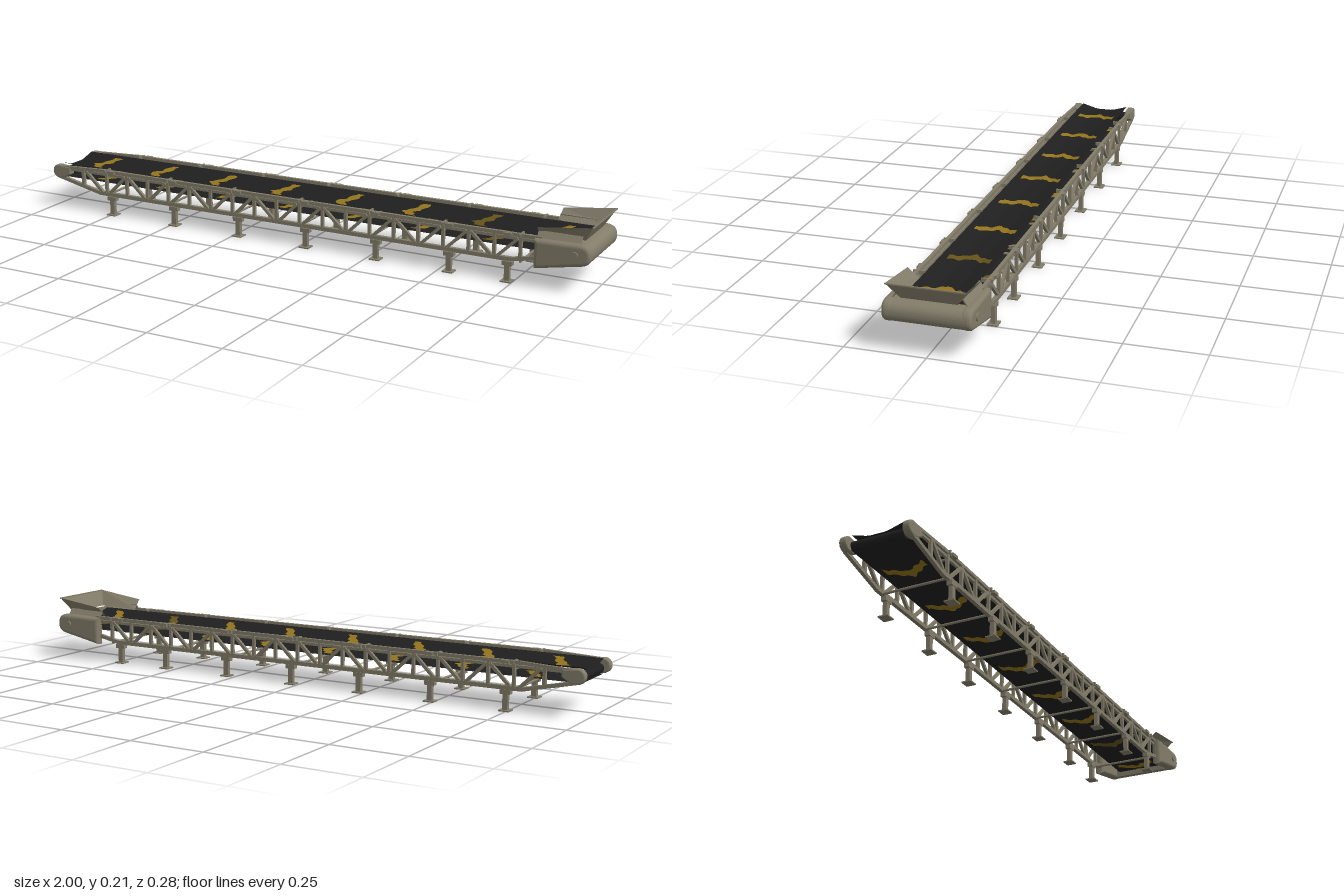
import * as THREE from 'three';

const mat = (name, color) => {
  const m = new THREE.MeshStandardMaterial({ color, side: THREE.DoubleSide });
  m.name = name;
  return m;
};

export function createModel() {
  const root = new THREE.Group();
  root.name = 'beltConveyor';
  const metal = mat('weathered metal', 0x827c69);
  const rubber = mat('black rubber', 0x1f1f1f);
  const yellow = mat('yellow paint', 0x92741c);
  const worn = mat('worn yellow paint', 0x665319);

  const add = (name, geo, m, parent = root) => {
    const mesh = new THREE.Mesh(geo, m);
    mesh.name = name;
    parent.add(mesh);
    return mesh;
  };
  const box = (name, w, h, d, x, y, z, parent) => {
    const b = add(name, new THREE.BoxGeometry(w, h, d), metal, parent);
    b.position.set(x, y, z);
    return b;
  };
  // Square bar between two points of one side frame
  const beam = (name, x1, y1, x2, y2, z, w, parent) => {
    const bar = box(name, Math.hypot(x2 - x1, y2 - y1), w, w, (x1 + x2) / 2, (y1 + y2) / 2, z, parent);
    bar.rotation.z = Math.atan2(y2 - y1, x2 - x1);
  };
  const rod = (name, r, len, x, y, m = metal, sides = 12) => {
    const c = add(name, new THREE.CylinderGeometry(r, r, len, sides), m);
    c.rotation.x = Math.PI / 2;
    c.position.set(x, y, 0);
  };
  // Profile in x,y extruded along z between z0 and z1 with a rounded edge
  const slab = (name, shape, z0, z1, bevel, parent) => {
    const geo = new THREE.ExtrudeGeometry(shape, {
      depth: z1 - z0 - 2 * bevel, bevelThickness: bevel, bevelSize: bevel,
      bevelOffset: -bevel, bevelSegments: 4, curveSegments: 10,
    });
    geo.translate(0, 0, z0 + bevel);
    add(name, geo, metal, parent);
  };
  // Thin sheet facing up (1) or down (-1), shaped by a rule on each vertex
  const sheet = (name, w, d, rows, facing, rule, m) => {
    const geo = new THREE.PlaneGeometry(w, d, 1, rows).rotateX(-facing * Math.PI / 2);
    const p = geo.attributes.position;
    for (let i = 0; i < p.count; i++) {
      const [x, y] = rule(p.getX(i), p.getZ(i));
      p.setXYZ(i, x, y, p.getZ(i));
    }
    geo.computeVertexNormals();
    add(name, geo, m);
  };

  const TOP = 0.154, LOW = 0.073, PITCH = 0.257, Z = 0.11;
  const feet = [-0.745, -0.488, -0.232, 0.025, 0.282, 0.537, 0.732];

  // Troughed carrying belt and flat return belt
  const troughY = (z) => 0.138 + Math.max(0, Math.abs(z) - 0.03) * 0.29;
  const returnY = () => 0.106;
  sheet('carryingBelt', 1.93, 0.174, 14, 1, (x, z) => [x - 0.015, troughY(z)], rubber);
  sheet('returnBelt', 1.93, 0.174, 1, -1, (x) => [x - 0.015, returnY()], rubber);
  rod('tailPulley', 0.016, 0.174, -0.967, 0.122, rubber, 20);
  rod('headPulley', 0.018, 0.174, 0.935, 0.122, rubber, 20);

  // Worn chevrons, reversed and painted through on the return side
  const layers = [
    { facing: 1, height: troughY, way: 1, start: -0.865 },
    { facing: 1, height: returnY, way: -1, start: -0.805 },
    { facing: -1, height: returnY, way: -1, start: -0.805 },
  ];
  for (let n = 0; n < 8; n++) {
    for (const { facing, height, way, start } of layers) {
      sheet('chevron', 0.038, 0.134, 22, facing, (x, z) => {
        const wobble = 0.004 * Math.sin(z * 190 + n * 2.1 + Math.sign(x));
        const shift = way * (-0.02 + Math.abs(z) * 0.65) + wobble;
        return [x * (1 - Math.abs(z) * 4) + shift + start + n * 0.245, height(z) + facing * 0.0015];
      }, n === 6 ? worn : yellow);
    }
  }

  // Cover cheek and tail arm outlines
  const cheek = new THREE.Shape();
  cheek.moveTo(0.82, 0.06);
  cheek.lineTo(0.965, 0.088);
  cheek.quadraticCurveTo(1, 0.092, 1, 0.122);
  cheek.quadraticCurveTo(1, 0.156, 0.967, 0.157);
  cheek.lineTo(0.82, 0.155);
  const arm = new THREE.Shape();
  arm.absarc(-0.976, 0.13, 0.024, Math.PI / 2, Math.PI * 1.5, false);
  arm.lineTo(-0.955, 0.107);
  arm.lineTo(-0.925, 0.124);
  arm.lineTo(-0.925, 0.149);

  for (const s of [1, -1]) {
    // Lattice side frame
    const side = new THREE.Group();
    side.name = s > 0 ? 'frontTruss' : 'backTruss';
    root.add(side);
    const z = s * Z;
    beam('topRail', -0.8, TOP, 0.84, TOP, z, 0.011, side);
    beam('innerRail', -0.93, 0.141, 0.84, 0.141, s * 0.106, 0.009, side);
    beam('tailTopRail', -0.96, 0.147, -0.8, TOP, z, 0.01, side);
    beam('bottomRail', -0.8, LOW, 0.74, LOW, z, 0.013, side);
    beam('tailBottomRail', -0.975, 0.112, -0.8, LOW, z, 0.012, side);
    beam('headBottomRail', 0.74, LOW, 0.85, 0.095, z, 0.012, side);
    beam('tailPost', -0.87, 0.09, -0.87, 0.15, z, 0.011, side);
    beam('tailBrace', -0.86, 0.145, -0.785, LOW, z, 0.01, side);
    for (let i = 0; i < 7; i++) {
      const x = -0.771 + i * PITCH, b = PITCH / 3;
      beam('mainPost', x, LOW, x, 0.156, z, 0.01, side);
      box('idlerBracket', 0.006, 0.012, 0.036, x, 0.154, s * 0.104, side);
      if (i === 6) continue;
      for (const k of [1, 2]) beam('post', x + k * b, LOW, x + k * b, TOP, z, 0.01, side);
      beam('brace', x + 0.008, LOW, x + b - 0.006, 0.142, z, 0.01, side);
      beam('brace', x + b + 0.006, 0.142, x + 2 * b - 0.006, LOW, z, 0.01, side);
      beam('brace', x + 2 * b + 0.006, LOW, x + 3 * b - 0.008, 0.142, z, 0.01, side);
    }
    // Feet with base plate and flange
    const footZ = s * 0.111 + 0.002;
    for (const x of feet) {
      box('footPlate', 0.036, 0.004, 0.034, x, 0.002, footZ, side);
      box('footPost', 0.017, 0.052, 0.014, x, 0.028, footZ, side);
      box('footFlange', 0.034, 0.014, 0.018, x, 0.06, footZ, side);
      box('railClip', 0.026, 0.01, 0.018, x, 0.154, s * 0.114, side);
    }
    // Tail arm and head cover cheek
    slab('tailArm', arm, s > 0 ? 0.092 : -0.117, s > 0 ? 0.117 : -0.092, 0.005, side);
    slab('coverCheek', cheek, s > 0 ? 0.1 : -0.134, s > 0 ? 0.134 : -0.1, 0.012, side);
    const hub = add('headHub', new THREE.CylinderGeometry(0.012, 0.012, 0.008, 12).rotateX(Math.PI / 2), metal, side);
    hub.position.set(0.95, 0.123, s * 0.135);
    // Sloped skirt between cover and hopper
    const skirt = box('hopperSkirt', 0.14, 0.026, 0.004, 0.893, 0.164, s * 0.105, side);
    skirt.rotation.x = -s * 0.6;
  }

  // Rounded nose joining the two cheeks
  const nose = new THREE.Shape();
  nose.moveTo(0.955, 0.09);
  nose.quadraticCurveTo(1, 0.088, 1, 0.122);
  nose.quadraticCurveTo(1, 0.157, 0.955, 0.157);
  slab('coverNose', nose, -0.125, 0.125, 0.004, root);

  // Cross members under and inside the belt
  for (let i = 0; i < 7; i++) {
    const x = -0.771 + i * PITCH;
    rod('crossTube', 0.004, 2 * Z, x, 0.069);
    rod('idlerRoller', 0.004, 2 * Z, x, 0.132);
  }

  // Flared hopper, open toward the belt
  const low = [[0.82, 0.158, 0.085], [0.968, 0.16, 0.085], [0.968, 0.16, -0.085], [0.82, 0.158, -0.085]];
  const high = [[0.825, 0.19, 0.118], [0.998, 0.212, 0.118], [0.998, 0.212, -0.118], [0.825, 0.19, -0.118]];
  const pos = [];
  for (let i = 0; i < 3; i++) {
    pos.push(...low[i], ...low[i + 1], ...high[i + 1], ...low[i], ...high[i + 1], ...high[i]);
  }
  const hopper = new THREE.BufferGeometry();
  hopper.setAttribute('position', new THREE.Float32BufferAttribute(pos, 3));
  hopper.computeVertexNormals();
  add('hopper', hopper, metal);
  box('hopperRim', 0.004, 0.004, 0.236, 0.998, 0.211, 0);

  return root;
}
